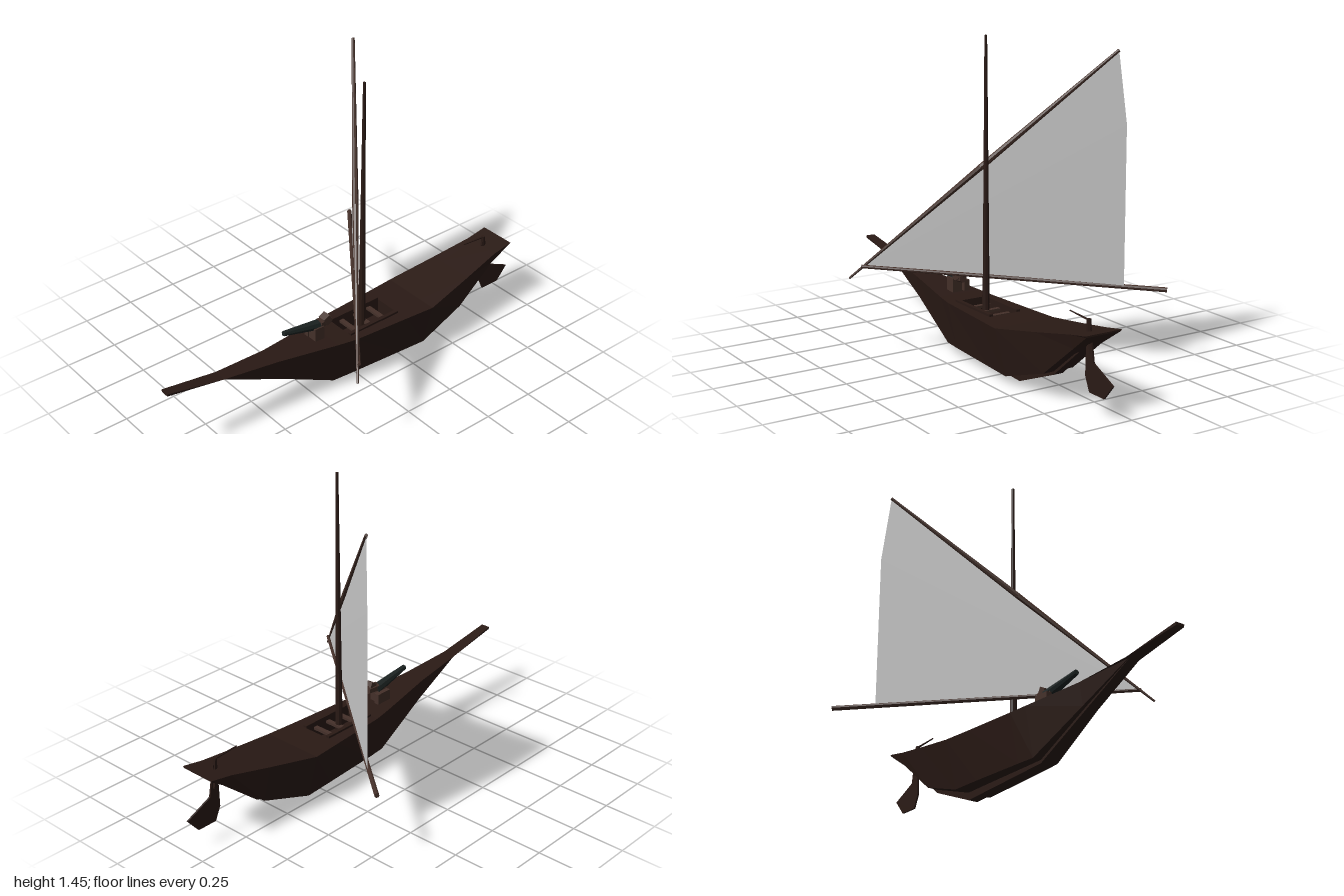
import * as THREE from 'three';

const mat = (color) => new THREE.MeshStandardMaterial({ color, flatShading: true, side: THREE.DoubleSide });
const darkWood = mat(0x2a1a15);
const wood = mat(0x443029);
const iron = mat(0x1c2322);
const cloth = mat(0xcccccc);
const V = (x, y, z) => new THREE.Vector3(x, y, z);

function add(parent, name, geometry, material, x = 0, y = 0, z = 0) {
  const mesh = new THREE.Mesh(geometry, material);
  mesh.name = name;
  mesh.position.set(x, y, z);
  parent.add(mesh);
  return mesh;
}

// Tapered round spar between two points
function spar(parent, name, a, b, r0, r1, material, sides = 8) {
  const geo = new THREE.CylinderGeometry(r1, r0, a.distanceTo(b), sides);
  const mesh = add(parent, name, geo, material);
  mesh.position.copy(a).lerp(b, 0.5);
  mesh.quaternion.setFromUnitVectors(V(0, 1, 0), b.clone().sub(a).normalize());
  return mesh;
}

// Plate from a [z, y] outline, given a thickness in x
function sidePlate(outline, thickness) {
  const shape = new THREE.Shape(outline.map(([z, y]) => new THREE.Vector2(-z, y)));
  const geo = new THREE.ExtrudeGeometry(shape, { depth: thickness, bevelEnabled: false });
  return geo.translate(0, 0, -thickness / 2).rotateY(Math.PI / 2);
}

// Hull skin lofted along z, with a sunken well amidships
function hullGeometry() {
  // z, deck half width, deck y, bottom half width, bottom y, well depth
  const stations = [
    [-0.925, 0.09, 0.357, 0.085, 0.35, 0],
    [-0.82, 0.09, 0.338, 0.07, 0.275, 0],
    [-0.62, 0.117, 0.3, 0.075, 0.115, 0],
    [-0.37, 0.15, 0.256, 0.095, 0.035, 0],
    [-0.22, 0.138, 0.256, 0.088, 0.037, 0],
    [-0.22, 0.138, 0.256, 0.088, 0.037, 0.08],
    [0.06, 0.118, 0.257, 0.072, 0.039, 0.08],
    [0.06, 0.118, 0.257, 0.072, 0.039, 0],
    [0.15, 0.105, 0.262, 0.065, 0.04, 0],
    [0.45, 0.055, 0.283, 0.04, 0.182, 0],
    [0.72, 0.033, 0.308, 0.026, 0.302, 0],
    [1.0, 0.022, 0.36, 0.02, 0.348, 0],
  ];
  const rings = stations.map(([z, w, y, bw, by, d]) => {
    const i = Math.min(0.062, w * 0.6);
    return [[-bw, by], [bw, by], [w, y], [i, y], [i, y - d], [-i, y - d], [-i, y], [-w, y]]
      .map(([px, py]) => [px, py, z]);
  });
  const pos = [];
  const quad = (a, b, c, d) => pos.push(...a, ...b, ...c, ...a, ...c, ...d);
  for (let s = 0; s < rings.length - 1; s++) {
    const p = rings[s], q = rings[s + 1];
    for (let i = 0; i < 8; i++) quad(p[i], p[(i + 1) % 8], q[(i + 1) % 8], q[i]);
  }
  const stern = rings[0], bow = rings[rings.length - 1];
  quad(stern[0], stern[7], stern[2], stern[1]);
  quad(bow[0], bow[1], bow[2], bow[7]);
  const geo = new THREE.BufferGeometry();
  geo.setAttribute('position', new THREE.Float32BufferAttribute(pos, 3));
  geo.computeVertexNormals();
  return geo;
}

export function createModel() {
  const model = new THREE.Group();
  model.name = 'sailingBoat';

  // Hull parts share a centreline a little to the left
  const boat = new THREE.Group();
  boat.name = 'boat';
  boat.position.x = 0.09;
  model.add(boat);
  add(boat, 'hull', hullGeometry(), darkWood);
  add(boat, 'keel', sidePlate([[0.72, 0.3], [0.15, 0.025], [-0.37, 0], [-0.62, 0.1],
    [-0.8, 0.25], [-0.62, 0.15], [-0.37, 0.05], [0.15, 0.05], [0.7, 0.304]], 0.046), darkWood);

  // Well trim and thwarts
  for (const side of [-1, 1]) {
    add(boat, 'wellRail', new THREE.BoxGeometry(0.018, 0.012, 0.28), darkWood, side * 0.07, 0.26, -0.08);
  }
  for (const z of [-0.16, -0.08, 0]) {
    add(boat, 'thwart', new THREE.BoxGeometry(0.124, 0.012, 0.022), wood, 0, 0.235, z);
  }

  // Mast
  spar(boat, 'mast', V(0, 0.04, -0.07), V(0, 1.45, -0.07), 0.018, 0.006, darkWood);

  // Rudder, its stock and tiller
  add(boat, 'rudder', sidePlate([[-0.818, 0.36], [-0.812, 0.15], [-0.84, 0.087], [-0.937, 0.087],
    [-0.995, 0.155], [-0.865, 0.215], [-0.84, 0.36]], 0.008), darkWood);
  spar(boat, 'rudderStock', V(0, 0.25, -0.838), V(0, 0.39, -0.826), 0.012, 0.01, darkWood, 6);
  spar(boat, 'tiller', V(0, 0.385, -0.83), V(0, 0.393, -0.7), 0.005, 0.003, darkWood, 6);

  // Small deck gun pointing over the bow, on a block mount
  const gun = new THREE.Group();
  gun.name = 'deckGun';
  boat.add(gun);
  spar(gun, 'barrel', V(-0.005, 0.325, 0.17), V(-0.005, 0.366, 0.375), 0.025, 0.012, iron);
  spar(gun, 'breech', V(0, 0.338, 0.12), V(0, 0.335, 0.18), 0.02, 0.025, wood, 6);
  add(gun, 'mount', new THREE.BoxGeometry(0.05, 0.07, 0.05), wood, 0, 0.295, 0.195);
  add(gun, 'mountBlock', new THREE.BoxGeometry(0.025, 0.05, 0.08), wood, -0.035, 0.295, 0.185);
  const wedge = add(gun, 'wedge', new THREE.BoxGeometry(0.04, 0.04, 0.035), wood, 0.005, 0.35, 0.145);
  wedge.rotation.x = 0.5;

  // Slanting yard, thicker in the middle, and boom
  const foot = V(0.55, 0.357, 0.34), peak = V(-0.373, 1.388, -0.395);
  const middle = foot.clone().lerp(peak, 0.5);
  spar(model, 'yardLower', middle, foot, 0.014, 0.005, wood);
  spar(model, 'yardUpper', middle, peak, 0.014, 0.007, wood);
  spar(model, 'boom', V(0.51, 0.414, 0.3), V(-0.555, 0.339, -0.53), 0.008, 0.011, wood);

  // Four-cornered sail between yard and boom
  const sail = new THREE.BufferGeometry().setFromPoints([
    V(0.5, 0.413, 0.3), V(-0.373, 1.385, -0.395), V(-0.402, 1.07, -0.42), V(-0.402, 0.352, -0.42)]);
  sail.setIndex([0, 1, 2, 0, 2, 3]);
  sail.computeVertexNormals();
  add(model, 'sail', sail, cloth);

  return model;
}
